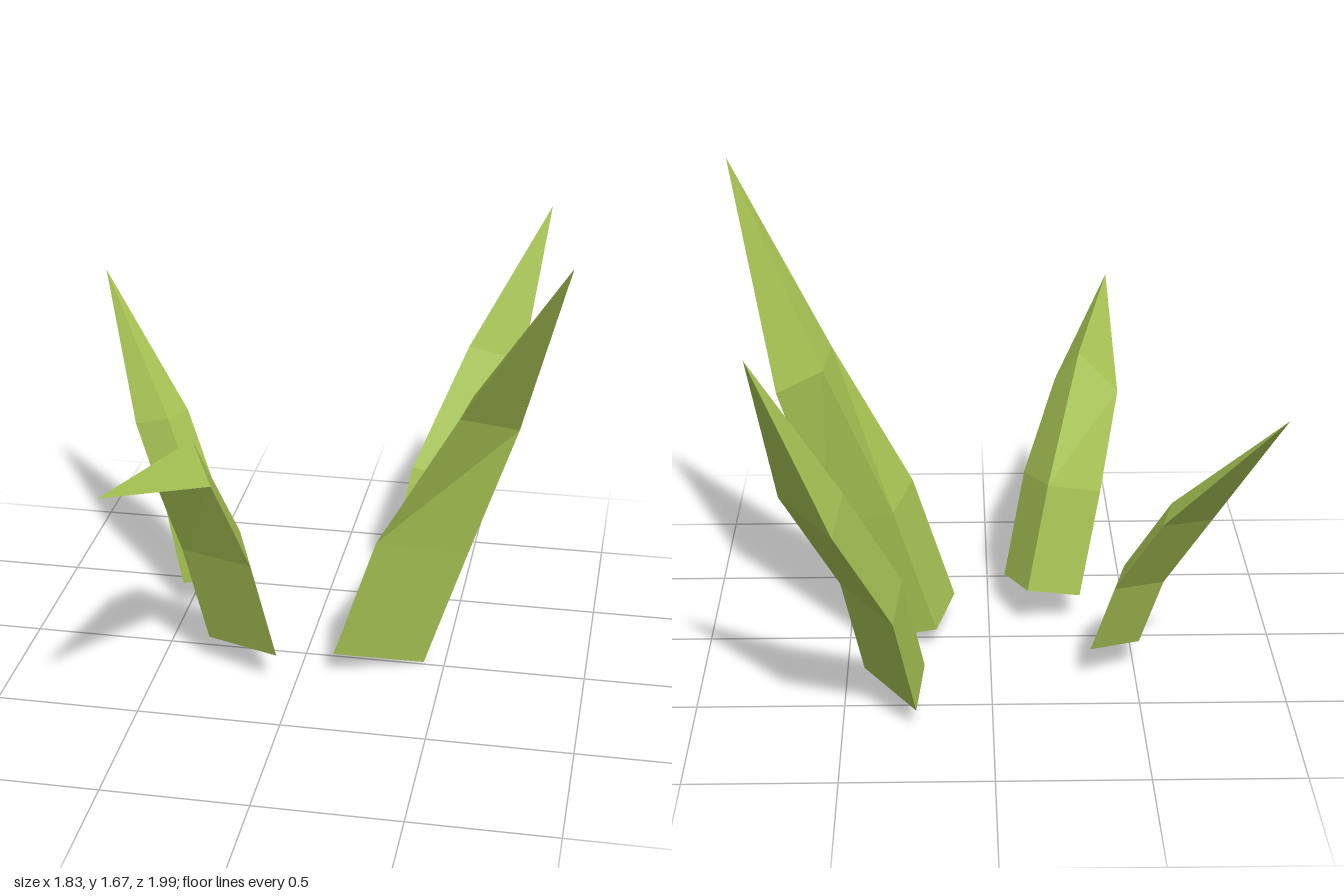
import * as THREE from 'three';

const material = new THREE.MeshStandardMaterial({ color: 0xaac655, flatShading: true });

// One blade: three-cornered cross-sections stacked from the root up, closed below and drawn to a tip.
// Corners run counter-clockwise seen from above.
function blade(name, sections, tip) {
  const pos = [];
  const tri = (a, b, c) => pos.push(...a, ...b, ...c);
  const [root] = sections;
  const last = sections[sections.length - 1];
  tri(root[0], root[2], root[1]);
  for (let i = 0; i < 3; i++) {
    const j = (i + 1) % 3;
    for (let s = 0; s < sections.length - 1; s++) {
      const lo = sections[s], hi = sections[s + 1];
      tri(lo[i], lo[j], hi[j]);
      tri(lo[i], hi[j], hi[i]);
    }
    tri(last[i], last[j], tip);
  }
  const geometry = new THREE.BufferGeometry();
  geometry.setAttribute('position', new THREE.Float32BufferAttribute(pos, 3));
  geometry.computeVertexNormals();
  const mesh = new THREE.Mesh(geometry, material);
  mesh.name = name;
  return mesh;
}

// Copy of a cross-section moved along the growth direction
const shift = (section, d) => section.map((p) => p.map((v, k) => v + d[k]));

export function createModel() {
  const group = new THREE.Group();
  group.name = 'grassTuft';

  // Tall blade, bending forward at its point
  const tall = [[0.125, 0.1, 0.155], [0.425, 0.003, -0.015], [0.19, 0.08, -0.09]];
  group.add(blade('tallBlade', [
    tall,
    shift(tall, [0.147, 0.452, 0.004]),
    [[0.55, 1.05, 0.19], [0.735, 0.945, 0.003], [0.57, 1.04, -0.035]],
  ], [0.912, 1.675, 0.402]));

  // Blade folded over towards the front
  const folded = [[-0.33, 0.105, 0.122], [-0.06, 0.13, 0.255], [-0.138, 0.158, 0.055]];
  group.add(blade('foldedBlade', [
    folded,
    shift(folded, [-0.073, 0.38, 0.073]),
    [[-0.467, 0.82, 0.325], [-0.246, 0.84, 0.413], [-0.326, 0.968, 0.332]],
  ], [-0.465, 1.05, 0.992]));

  // Slim blade leaning back and to the right
  const slim = [[-0.515, 0.11, -0.252], [-0.382, 0.155, -0.217], [-0.34, 0.135, -0.357]];
  group.add(blade('slimBlade', [
    slim,
    shift(slim, [-0.073, 0.26, -0.065]),
    shift(slim, [-0.215, 0.55, -0.195]),
  ], [-0.915, 1.14, -0.777]));

  // Broad blade leaning back and to the left
  const broad = [[0.433, 0.11, -0.43], [0.255, 0.075, -0.667], [0.228, 0.138, -0.467]];
  group.add(blade('broadBlade', [
    broad,
    shift(broad, [0.069, 0.37, -0.108]),
    shift(broad, [0.243, 0.78, -0.333]),
  ], [0.745, 1.425, -0.98]));

  return group;
}
